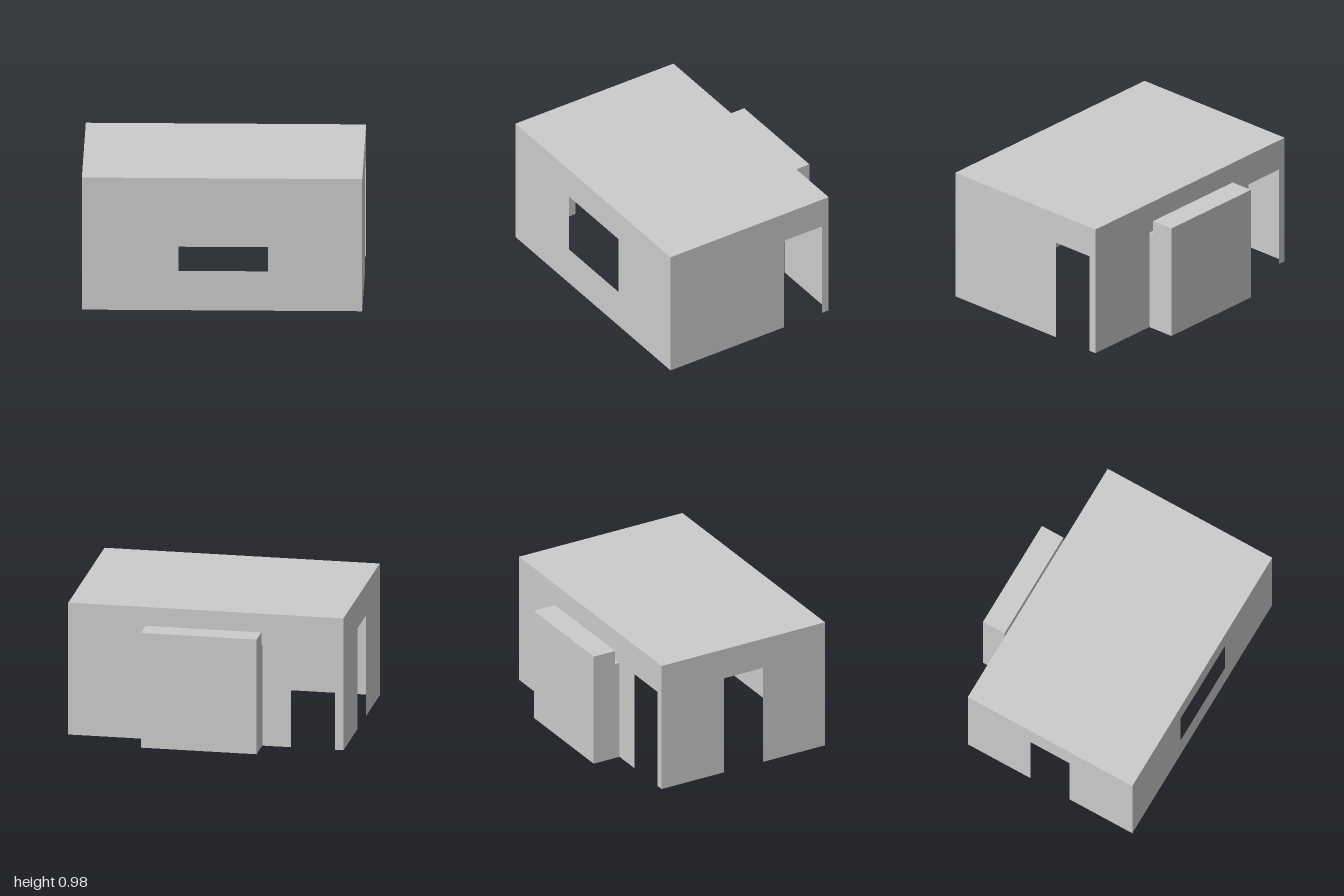
import * as THREE from 'three';

const H = 0.984, DOOR = 0.752;        // wall and opening heights
const FRONT = 0.784, BACK = -0.57;    // z of the front and back walls
const NICHE_X0 = -0.41, NICHE_X1 = 0.43;

const material = new THREE.MeshStandardMaterial({ color: 0xcccccc, side: THREE.DoubleSide });

function addMesh(group, name, geometry) {
  const mesh = new THREE.Mesh(geometry, material);
  mesh.name = name;
  group.add(mesh);
  return mesh;
}

// Flat panel from an outline of [u, y] points
function outline(points) {
  return new THREE.Shape(points.map(([u, y]) => new THREE.Vector2(u, y)));
}

// Wall outline from u0 to u1 with doorways cut up from the ground
function wallShape(u0, u1, doors = []) {
  const pts = [[u0, H], [u0, 0]];
  for (const [a, b] of doors) pts.push([a, 0], [a, DOOR], [b, DOOR], [b, 0]);
  pts.push([u1, 0], [u1, H]);
  return outline(pts);
}

// Panel facing sideways: u runs along z, set at the given x
function sidePanel(shape, x) {
  return new THREE.ShapeGeometry(shape)
    .applyMatrix4(new THREE.Matrix4().set(0, 0, -1, x, 0, 1, 0, 0, 1, 0, 0, 0, 0, 0, 0, 1));
}

export function createModel() {
  const model = new THREE.Group();
  model.name = 'room';

  // Front wall with window
  const front = wallShape(-1, 1);
  front.holes.push(outline([[-0.31, 0.293], [-0.31, DOOR], [0.328, DOOR], [0.328, 0.293]]));
  addMesh(model, 'frontWall', new THREE.ShapeGeometry(front)).position.z = FRONT;

  // Back wall with a doorway and the opening to the niche
  const back = wallShape(-1, 1, [[-0.94, -0.62], [NICHE_X0, NICHE_X1]]);
  addMesh(model, 'backWall', new THREE.ShapeGeometry(back)).position.z = BACK;

  // Side walls, each with a doorway
  addMesh(model, 'leftWall', sidePanel(wallShape(BACK, FRONT, [[-0.511, -0.188]]), 1));
  addMesh(model, 'rightWall', sidePanel(wallShape(BACK, FRONT, [[-0.055, 0.268]]), -1));

  // Ceiling
  const ceiling = new THREE.PlaneGeometry(2, FRONT - BACK).rotateX(-Math.PI / 2);
  addMesh(model, 'ceiling', ceiling).position.set(0, H, (FRONT + BACK) / 2);

  // Niche behind the back wall: low passage, then a taller recess
  const niche = new THREE.Group();
  niche.name = 'niche';
  model.add(niche);
  const profile = [[BACK, DOOR], [-0.607, DOOR], [-0.607, 0.856], [-0.784, 0.856], [-0.784, 0]];
  const side = outline([[BACK, 0], ...profile]);
  addMesh(niche, 'nicheLeftSide', sidePanel(side, NICHE_X1));
  addMesh(niche, 'nicheRightSide', sidePanel(side, NICHE_X0));

  // Strips across the niche, one for each step of its profile
  const names = ['passageTop', 'nicheStep', 'nicheTop', 'nicheBack'];
  names.forEach((name, i) => {
    const [z0, y0] = profile[i], [z1, y1] = profile[i + 1];
    const strip = new THREE.PlaneGeometry(NICHE_X1 - NICHE_X0, Math.hypot(z1 - z0, y1 - y0));
    strip.rotateX(Math.atan2(z0 - z1, y0 - y1));
    addMesh(niche, name, strip)
      .position.set((NICHE_X0 + NICHE_X1) / 2, (y0 + y1) / 2, (z0 + z1) / 2);
  });

  return model;
}
